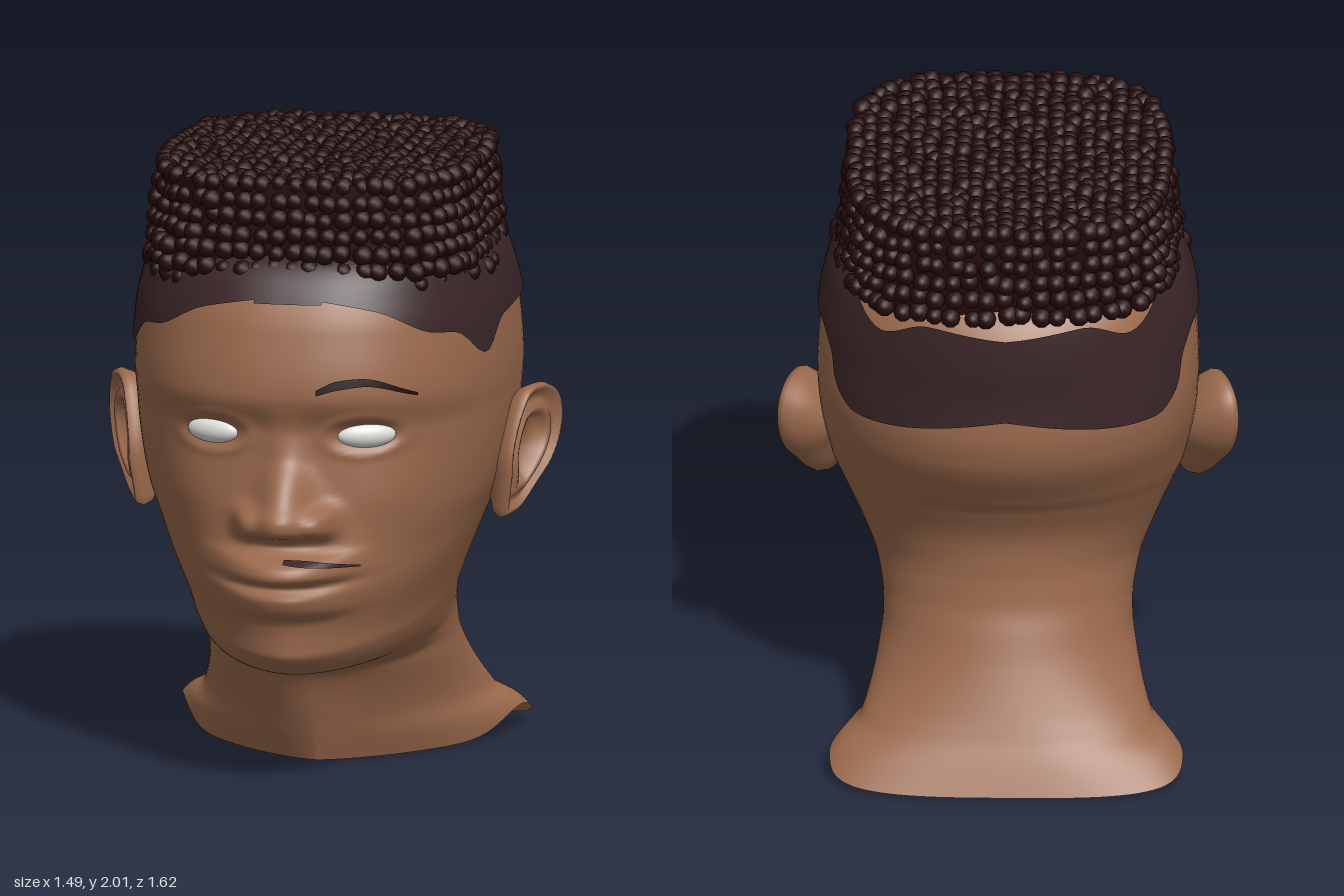
import * as THREE from 'three';
import { mergeGeometries } from 'three/addons/utils/BufferGeometryUtils.js';

const { clamp, lerp } = THREE.MathUtils;
const mat = (name, color, side = THREE.DoubleSide) => {
  const m = new THREE.MeshStandardMaterial({ color, side });
  m.name = name;
  return m;
};

// Head sections: front y, back y, front z, back z, half width
const RINGS = [
  [0, 0, .11, -.80, .572],
  [.08, .08, .14, -.76, .53],
  [.15, .16, .165, -.72, .475],
  [.28, .38, .215, -.615, .415],
  [.32, .48, .25, -.575, .405],
  [.345, .56, .38, -.545, .405],
  [.365, .62, .56, -.535, .41],
  [.40, .67, .645, -.53, .42],
  [.45, .72, .685, -.53, .435],
  [.53, .78, .685, -.535, .46],
  [.78, .93, .67, -.60, .54],
  [.90, 1.0, .655, -.65, .575],
  [1.17, 1.19, .64, -.765, .613],
  [1.30, 1.30, .685, -.785, .618],
  [1.50, 1.50, .65, -.77, .603],
  [1.60, 1.60, .612, -.73, .58],
  [1.70, 1.70, .545, -.65, .54],
  [1.76, 1.76, .42, -.50, .43],
  [1.79, 1.79, -.08, -.12, .02],
];
// Height against z of the widest point, and against nose height
const MIDDLE = [[0, -.6], [.15, -.5], [.32, -.22], [.45, -.1], [.9, -.12], [1.3, -.2], [1.6, -.19], [1.79, -.1]];
const NOSE = [[.815, 0], [.835, .05], [.85, .11], [.875, .147], [.905, .155], [.95, .127], [1.02, .085], [1.1, .03], [1.27, 0]];
// Hairline edges of the shaved sides: degrees from the front, height
const FADE_LOW = [[0, 1.622], [25, 1.57], [43, 1.49], [53, 1.475], [66, 1.385], [77, 1.48], [102, 1.505], [114, 1.45], [119, 1.35], [130, 1.29], [180, 1.37]];
const FADE_TOP = [[0, 1.745], [60, 1.72], [120, 1.71], [140, 1.62], [158, 1.68], [180, 1.66]];

// Smooth value of column c at s, without overshoot
function curve(rows, c, s) {
  const n = rows.length - 1;
  s = clamp(s, rows[0][0], rows[n][0]);
  let i = 0;
  while (i < n - 1 && s > rows[i + 1][0]) i++;
  const d = k => (rows[k + 1][c] - rows[k][c]) / (rows[k + 1][0] - rows[k][0]);
  const m = k => {
    if (k === 0) return d(0);
    if (k === n) return d(n - 1);
    const p = d(k - 1), q = d(k);
    return p * q <= 0 ? 0 : 2 * p * q / (p + q);
  };
  const h = rows[i + 1][0] - rows[i][0], t = (s - rows[i][0]) / h, u = 1 - t;
  return rows[i][c] * (1 + 2 * t) * u * u + h * m(i) * t * u * u + rows[i + 1][c] * t * t * (3 - 2 * t) - h * m(i + 1) * t * t * u;
}
const bell = (v, w, power = 2) => Math.exp(-(Math.abs(v / w) ** power));
const spow = (v, e) => Math.sign(v) * Math.abs(v) ** e;

// Relief of nose, lips, eye sockets and cheeks
function faceRelief(x, y) {
  const ax = Math.abs(x), lipY = y - .3 * x * x;
  const noseWidth = clamp(.105 - (y - .9) * .25, .06, .105);
  const d = Math.hypot((ax - .25) / .12, (y - 1.165) / .06);
  return curve(NOSE, 1, y) * bell(x, noseWidth, 2.4)
    + .075 * bell(ax - .125, .045) * bell(y - .89, .05, 3)
    + .065 * bell(x, .24) * bell(y - .70, .115)
    + bell(x, .2, 3) * (.062 * bell(lipY - .735, .042, 4) + .042 * bell(lipY - .622, .048, 4) - .015 * bell(lipY - .68, .012))
    + .009 * bell(d - 1.05, .25) - .03 * bell(d, .8)
    + .018 * bell(ax - .32, .12) * bell(y - .95, .12);
}

// Point of the head at angle a from the front, on the section whose front height is s
function headPoint(a, s) {
  const [yB, zF, zB, w] = [1, 2, 3, 4].map(c => curve(RINGS, c, s));
  const zc = curve(MIDDLE, 1, s), ca = Math.cos(a);
  // the throat and chin are narrower, the forehead and shoulders squarer
  const front = 1 + .4 * Math.max(0, 1 - s / .3) + .15 * bell(s - .45, .15) - clamp((s - .75) * .3, 0, .15);
  const e = ca > 0 ? front : clamp(.65 + s * 1.8, .65, 1);
  const x = w * spow(Math.sin(a), e);
  let z = zc + (ca > 0 ? zF - zc : zc - zB) * spow(ca, e);
  let y = s + (yB - s) * (1 - ca) / 2;
  y += .085 * bell(z + .54, .16) * Math.max(0, 1 - s / .15);
  if (ca > 0 && s > .38) z += faceRelief(x, y) * Math.min(1, ca * 3);
  return new THREE.Vector3(x, y, z);
}

// Surface point of the face at a given x and y
function onFace(x, y) {
  let a = x, s = y, p;
  for (let i = 0; i < 60; i++) {
    p = headPoint(a, s);
    a += (x - p.x) * .8;
    s += (y - p.y) * .8;
  }
  return p;
}

// Surface from rows of points
function loft(rows, closed) {
  const n = rows[0].length, index = [];
  for (let j = 0; j < rows.length - 1; j++) {
    for (let i = 0; i < (closed ? n : n - 1); i++) {
      const a = j * n + i, b = j * n + (i + 1) % n;
      index.push(a, b, b + n, a, b + n, a + n);
    }
  }
  const g = new THREE.BufferGeometry().setFromPoints(rows.flat());
  g.setIndex(index);
  g.computeVertexNormals();
  return g;
}

// Thin painted strip on the face; points are x, y, thickness
function strip(points) {
  const row = k => Array.from({ length: 17 }, (_, i) => {
    const x = lerp(points[0][0], points.at(-1)[0], i / 16);
    const p = onFace(x, curve(points, 1, x) + k * curve(points, 2, x));
    return p.add(new THREE.Vector3(p.x * .01, 0, .008));
  });
  return loft([-.5, 0, .5].map(row), false);
}

function earGeometry(side) {
  const outline = new THREE.SplineCurve([[.02, .80], [.10, .82], [.18, .90], [.27, 1.0], [.305, 1.1], [.28, 1.18], [.2, 1.22], [.09, 1.19], [0, 1.0], [.02, .80]]
    .map(p => new THREE.Vector2(...p))).getPoints(48).slice(0, -1);
  // from the back of the ear over the rim into the bowl
  const profile = [[.4, -.11], [.7, -.07], [.94, -.025], [1, .008], [.97, .03], [.9, .032], [.82, .012], [.72, .012], [.62, .028], [.52, .022], [.42, -.012], [0, -.02]];
  return loft(profile.map(([r, h]) => outline.map(o => {
    const u = .12 + (o.x - .12) * r, y = 1.02 + (o.y - 1.02) * r;
    const x = .60 + .2 * Math.min(0, y - .95) + u * .4 + h * .9;
    return new THREE.Vector3(side * x, y, .02 - u * .92 + h * .4);
  })), true);
}

export function createModel() {
  const model = new THREE.Group();
  const skin = mat('skin', 0x9a694c), hair = mat('hair', 0x240a0a);
  const fade = mat('shaved hair', 0x3a2527), white = mat('eye white', 0xdededa, THREE.FrontSide);
  const add = (name, geometry, material) => {
    const m = new THREE.Mesh(geometry, material);
    m.name = name;
    model.add(m);
    return m;
  };

  // Head and open neck, with denser columns on the face
  const heights = RINGS.slice(1).flatMap(([top], k) => {
    const low = RINGS[k][0], n = Math.max(6, Math.ceil((top - low) / .012));
    return Array.from({ length: n }, (_, q) => lerp(low, top, q / n));
  }).concat(RINGS.at(-1)[0]);
  add('head', loft(heights.map(s => Array.from({ length: 128 }, (_, i) => {
    const a = i / 128 * Math.PI * 2;
    return headPoint(a - .65 * Math.sin(a), s);
  })), true), skin);

  // Ears and eyes
  for (const side of [1, -1]) {
    const label = side > 0 ? 'left' : 'right';
    add(label + 'Ear', earGeometry(side), skin);
    const eye = add(label + 'Eye', new THREE.SphereGeometry(1, 24, 16), white);
    eye.scale.set(.099, .042, .04);
    eye.position.set(side * .25, 1.165, .565);
    eye.rotation.y = side * .4;
  }

  // Shaved band around the skull, standing off at the back
  add('shavedSides', loft(Array.from({ length: 9 }, (_, j) => Array.from({ length: 144 }, (_, i) => {
    const a = i / 144 * Math.PI * 2, deg = Math.min(i, 144 - i) * 2.5;
    const y = lerp(curve(FADE_LOW, 1, deg), curve(FADE_TOP, 1, deg), j / 8);
    const back = Math.max(0, -Math.cos(a)), lift = Math.max(0, (y - 1.4) / .26);
    const out = .013 + back * back * (.008 + .09 * lift * lift);
    return headPoint(a, y).add(new THREE.Vector3(Math.sin(a) * out, 0, Math.cos(a) * out));
  })), true), fade);

  // Facial hair strips
  add('eyebrow', strip([[.105, 1.318, .018], [.17, 1.342, .03], [.25, 1.35, .026], [.41, 1.30, .01]]), hair);
  add('moustache', strip([[.012, .772, .012], [.1, .765, .018], [.24, .746, .006]]), fade);
  add('hairlinePatch', strip([[-.11, 1.609, .028], [.11, 1.609, .028]]), fade);

  // Flat top: solid core covered in small curls
  const footprint = scale => new THREE.Shape(Array.from({ length: 81 }, (_, i) => {
    const a = i / 80 * Math.PI * 2;
    return new THREE.Vector2(.535 * scale * spow(Math.cos(a), .6), .61 * scale * spow(Math.sin(a), .6));
  }));
  const core = new THREE.ExtrudeGeometry(footprint(.95), { depth: .3, bevelEnabled: false });
  core.rotateX(-Math.PI / 2).translate(0, 1.67, -.075);
  add('hairCore', core, hair);

  let seed = 7;
  const jitter = amount => {
    seed = (seed * 16807) % 2147483647;
    return (seed / 2147483647 - .5) * amount;
  };
  const ball = new THREE.IcosahedronGeometry(.032, 1), curls = [];
  const curl = (x, y, z) => {
    const s = 1 + jitter(.25);
    curls.push(ball.clone().scale(s, s, s).translate(x + jitter(.02), y + jitter(.014), z + jitter(.02)));
  };
  for (let r = 0; r < 6; r++) {
    const y = 1.69 + r * .055;
    footprint(.985 - r * .012).getSpacedPoints(68).slice(0, 68).forEach(p => curl(p.x, y, p.y - .075));
  }
  for (let x = -.5; x <= .5; x += .05) {
    for (let z = -.575; z <= .58; z += .05) {
      if (Math.abs(x / .5) ** 3.33 + Math.abs(z / .575) ** 3.33 < 1) curl(x, 1.965, z - .075);
    }
  }
  // stray curls at the temples
  for (let a = .72; a < 1.4; a += .085) {
    for (const side of [1, -1]) {
      const p = headPoint(side * a, 1.64);
      curl(p.x * .98, p.y, p.z);
    }
  }
  add('curls', mergeGeometries(curls), hair);
  return model;
}
